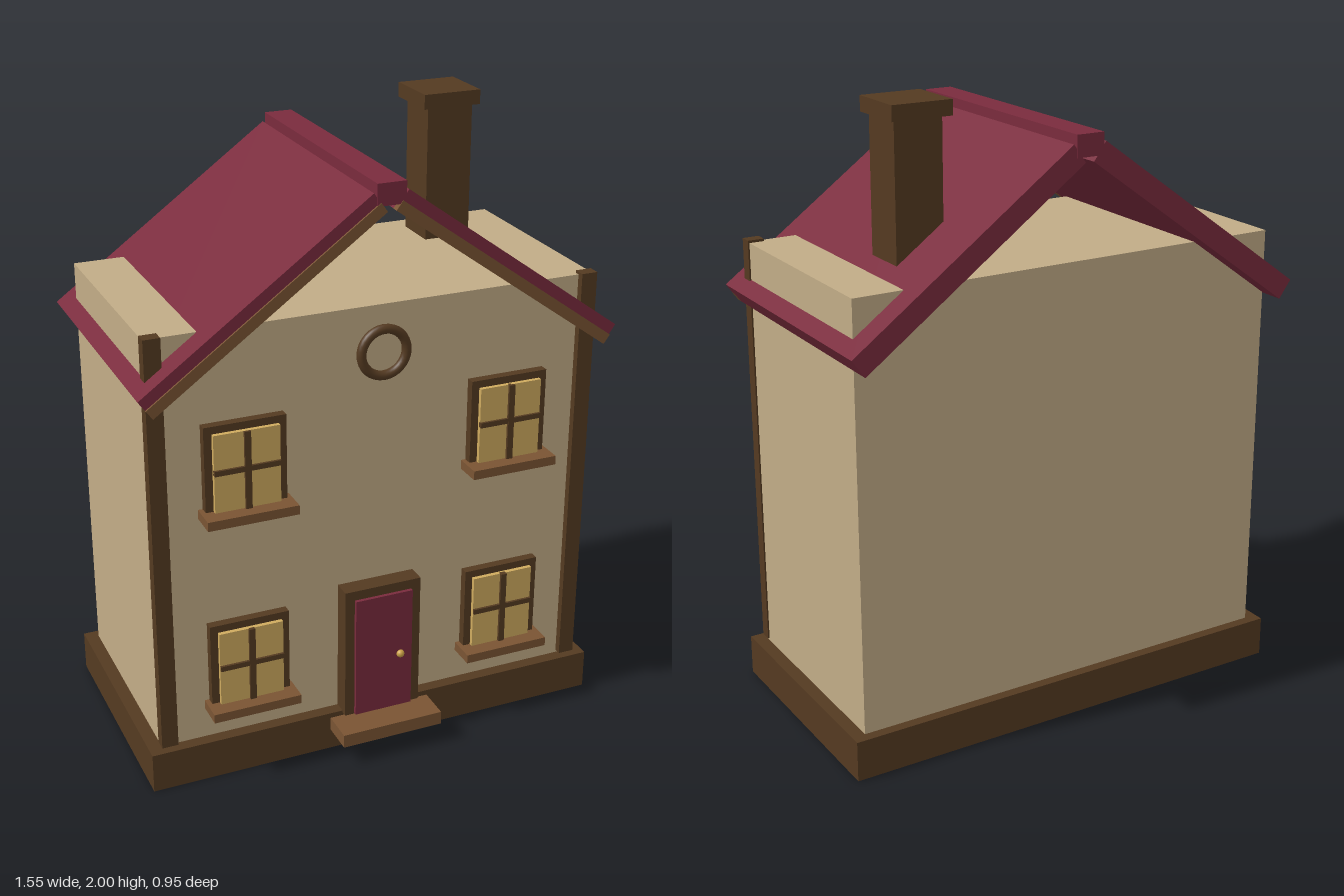
import * as THREE from 'three';

const mat = (name, color) => {
  const m = new THREE.MeshStandardMaterial({ color });
  m.name = name;
  return m;
};

export function createModel() {
  const house = new THREE.Group();
  house.name = 'house';
  const wall = mat('tan plaster', 0xc2ac87);
  const timber = mat('dark timber', 0x543a21);
  const wood = mat('mid brown wood', 0x7a5433);
  const red = mat('deep red', 0x7a2b3d);
  const glass = mat('warm glass', 0xcfab5f);
  const brass = mat('brass', 0xc9a045);

  const add = (parent, name, geometry, material) => {
    const m = new THREE.Mesh(geometry, material);
    m.name = name;
    parent.add(m);
    return m;
  };
  // Box given by its extents along each axis
  const box = (parent, name, material, [x0, x1], [y0, y1], [z0, z1]) => {
    const m = add(parent, name, new THREE.BoxGeometry(x1 - x0, y1 - y0, z1 - z0), material);
    m.position.set((x0 + x1) / 2, (y0 + y1) / 2, (z0 + z1) / 2);
    return m;
  };

  // Plinth, walls and doorstep
  box(house, 'plinth', timber, [-0.773, 0.773], [0, 0.132], [-0.425, 0.365]);
  box(house, 'walls', wall, [-0.73, 0.73], [0.132, 1.5], [-0.392, 0.325]);
  box(house, 'doorstep', wood, [-0.172, 0.172], [0.07, 0.115], [0.3, 0.475]);

  // Corner posts, roof slopes and barge boards, mirrored
  const slope = Math.atan2(0.52, 0.72), length = Math.hypot(0.52, 0.72);
  for (const s of [-1, 1]) {
    box(house, 'cornerPost', timber, s > 0 ? [0.682, 0.735] : [-0.735, -0.682], [0.14, 1.508], [0.308, 0.348]);

    // Slab lying a given depth under the roof surface
    const slab = (name, material, depth, thickness, z0, z1) => {
      const m = add(house, name, new THREE.BoxGeometry(length, thickness, z1 - z0), material);
      m.position.set(s * (0.415 - Math.sin(slope) * depth), 1.61 - Math.cos(slope) * depth, (z0 + z1) / 2);
      m.rotation.z = -s * slope;
    };
    slab('roofSlope', red, 0.035, 0.07, -0.472, 0.408);
    slab('bargeBoard', wood, 0.0535, 0.035, 0.39, 0.414);
  }
  box(house, 'ridgeCap', red, [-0.046, 0.046], [1.83, 1.898], [-0.475, 0.412]);

  // Chimney
  box(house, 'chimneyShaft', timber, [0.368, 0.523], [1.52, 1.955], [-0.268, -0.117]);
  box(house, 'chimneyCap', timber, [0.347, 0.542], [1.953, 2], [-0.293, -0.1]);

  // Four windows with glazing bars and sills
  for (const x of [-0.438, 0.438]) {
    for (const y of [0.27, 0.94]) {
      const w = new THREE.Group();
      w.name = 'window';
      w.position.set(x, y, 0);
      house.add(w);
      box(w, 'windowFrame', timber, [-0.13, 0.13], [-0.005, 0.271], [0.32, 0.354]);
      box(w, 'windowPane', glass, [-0.105, 0.105], [-0.005, 0.247], [0.35, 0.368]);
      box(w, 'uprightBar', timber, [-0.01, 0.01], [-0.005, 0.247], [0.36, 0.377]);
      box(w, 'crossBar', timber, [-0.105, 0.105], [0.118, 0.135], [0.36, 0.376]);
      box(w, 'windowSill', wood, [-0.145, 0.145], [-0.035, -0.005], [0.32, 0.416]);
    }
  }

  // Front door
  box(house, 'doorFrame', timber, [-0.13, 0.13], [0.125, 0.578], [0.32, 0.386]);
  box(house, 'door', red, [-0.098, 0.098], [0.128, 0.546], [0.36, 0.398]);
  const knob = add(house, 'doorKnob', new THREE.SphereGeometry(0.013, 16, 12), brass);
  knob.position.set(0.057, 0.323, 0.4);

  // Round gable ring
  const ring = add(house, 'gableRing', new THREE.TorusGeometry(0.074, 0.015, 12, 32), timber);
  ring.position.set(0, 1.365, 0.37);

  return house;
}
